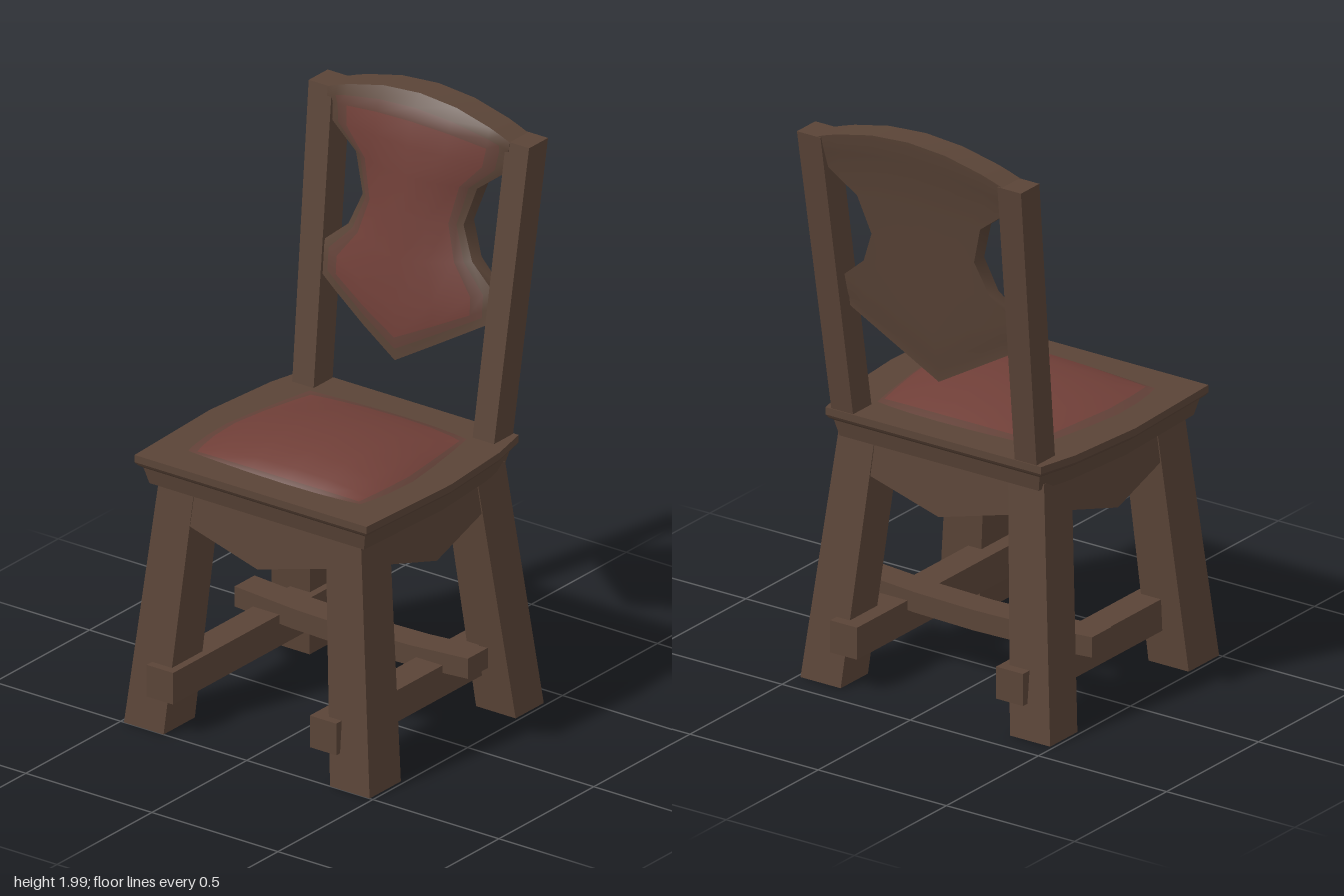
import * as THREE from 'three';

const material = (name, color) => {
  const m = new THREE.MeshStandardMaterial({ color });
  m.name = name;
  return m;
};

export function createModel() {
  const wood = material('dark wood', 0x5a4437);
  const trim = material('worn trim', 0x624138);
  const leather = material('red leather', 0x703f38);
  const shade = material('underside', 0x2a2f33);
  const palette = [wood, trim, leather];

  const chair = new THREE.Group();
  chair.name = 'chair';
  const add = (name, geometry, mat = wood, parent = chair) => {
    const mesh = new THREE.Mesh(geometry, mat);
    mesh.name = name;
    parent.add(mesh);
    return mesh;
  };

  // Move each vertex by a rule, keeping the box faces flat
  const reshape = (g, rule) => {
    const p = g.attributes.position, v = new THREE.Vector3();
    for (let i = 0; i < p.count; i++) {
      rule(v.fromBufferAttribute(p, i));
      p.setXYZ(i, v.x, v.y, v.z);
    }
    g.computeVertexNormals();
    return g;
  };

  // Leaning beam between two rectangles [xMin, xMax, zMin, zMax]
  const beam = (y0, a, y1, b) => reshape(new THREE.BoxGeometry(1, 1, 1), (v) => {
    const r = v.y < 0 ? a : b;
    v.set(v.x < 0 ? r[0] : r[1], v.y < 0 ? y0 : y1, v.z < 0 ? r[2] : r[3]);
  });
  const mirrorRect = ([x0, x1, z0, z1], s) => (s > 0 ? [x0, x1, z0, z1] : [-x1, -x0, z0, z1]);

  // Grid surface; pick(i, j) gives the material index of each cell
  const surface = (us, vs, fn, pick = () => 0, flat = false) => {
    const pos = [], cells = [[], [], []], n = us.length;
    for (const v of vs) for (const u of us) pos.push(...fn(u, v));
    for (let j = 0; j < vs.length - 1; j++) for (let i = 0; i < n - 1; i++) {
      const a = j * n + i;
      cells[pick(i, j)].push(a, a + 1, a + n + 1, a, a + n + 1, a + n);
    }
    let g = new THREE.BufferGeometry();
    g.setAttribute('position', new THREE.Float32BufferAttribute(pos, 3));
    g.setIndex(cells.flat());
    if (flat) g = g.toNonIndexed();
    let start = 0;
    cells.forEach((c, k) => {
      if (c.length) g.addGroup(start, c.length, k);
      start += c.length;
    });
    g.computeVertexNormals();
    return g;
  };
  const range = (n) => Array.from({ length: n }, (_, i) => i);
  const ring = (i, j, nu, nv) => Math.min(i, nu - 1 - i, j, nv - 1 - j);

  // Splayed legs and back posts
  for (const s of [1, -1]) {
    const side = s > 0 ? 'left' : 'right';
    const leg = (zFoot, zTop) => beam(0.01, mirrorRect([0.33, 0.487, ...zFoot], s),
      0.86, mirrorRect([0.26, 0.4, ...zTop], s));
    add(side + 'FrontLeg', leg([0.335, 0.5], [0.28, 0.43]));
    add(side + 'BackLeg', leg([-0.418, -0.27], [-0.33, -0.18]));
    add(side + 'BackPost', beam(0.93, mirrorRect([0.315, 0.4, -0.37, -0.27], s),
      1.93, mirrorRect([0.345, 0.437, -0.507, -0.407], s)));
    const runner = add(side + 'Stretcher', new THREE.BoxGeometry(0.105, 0.11, 0.94));
    runner.position.set(s > 0 ? 0.31 : -0.337, 0.185, 0.04);
  }

  // Bowed cross stretcher
  add('crossStretcher', reshape(new THREE.BoxGeometry(0.925, 0.07, 0.105, 4, 1, 1), (v) => {
    v.y += 0.235 + 0.02 * (v.x / 0.46) ** 2;
    v.z -= 0.103;
  }));

  // Pointed aprons, leaning outward with the legs
  const apron = (name, w, out, turn, zMid) => {
    const shape = new THREE.Shape();
    shape.moveTo(-w, 0.85);
    shape.lineTo(-w, 0.73);
    shape.lineTo(0, 0.655);
    shape.lineTo(w, 0.73);
    shape.lineTo(w, 0.85);
    const g = new THREE.ExtrudeGeometry(shape, { depth: 0.07, bevelEnabled: false });
    const mesh = add(name, reshape(g, (v) => { v.z += out - 0.07 + (0.84 - v.y) * 0.09; }));
    mesh.rotation.y = turn;
    mesh.position.z = zMid;
  };
  apron('frontApron', 0.28, 0.429, 0, 0);
  apron('backApron', 0.28, 0.329, Math.PI, 0);
  apron('leftApron', 0.25, 0.399, Math.PI / 2, 0.05);
  apron('rightApron', 0.25, 0.399, -Math.PI / 2, 0.05);

  // Moulded seat frame: one outline repeated at several levels
  const half = [[0.46, 0.48], [0.478, 0.06], [0.453, -0.23], [0.42, -0.375]];
  const outline = [...half, ...half.map(([x, z]) => [-x, z]).reverse(), half[0]];
  const levels = [[0, 0.84], [0.925, 0.84], [0.955, 0.895], [0.985, 0.905],
    [1, 0.915], [1, 0.94], [0, 0.94]];
  add('seatFrame', surface(range(outline.length), levels, (k, [scale, y]) => [
    outline[k][0] * scale, y, 0.05 + (outline[k][1] - 0.05) * scale,
  ], undefined, true));
  const under = add('seatUnderside', new THREE.BoxGeometry(0.6, 0.006, 0.58), shade);
  under.position.set(0, 0.836, 0.05);

  // Domed seat cushion
  const cu = [-1, -0.93, -0.75, -0.4, 0, 0.4, 0.75, 0.93, 1];
  add('seatCushion', surface(cu, cu, (u, v) => {
    const dome = (1 - Math.abs(u) ** 2.5) * (1 - Math.abs(v) ** 2.5);
    const x = 0.37 * u * (1 - 0.08 * v * v - (v > 0 ? 0.08 * v : 0)) + 0.06 * (1 - u * u);
    const z = 0.055 - 0.32 * v * (1 - 0.06 * u * u) + 0.06 * (1 - v * v);
    return [x, 0.942 + 0.068 * dome, z];
  }, (i, j) => Math.min(2, ring(i, j, 8, 8) + 1)), palette);

  // Back panel rows: [centre y, edge y, half width, front bulge, back depth]
  const rows = [
    [1.12, 1.32, 0.34, 0.015, -0.05], [1.16, 1.35, 0.34, 0.022, -0.05],
    [1.2, 1.37, 0.34, 0.03, -0.055], [1.3, 1.42, 0.34, 0.04, -0.06],
    [1.46, 1.5, 0.245, 0.042, -0.065], [1.61, 1.61, 0.2, 0.042, -0.07],
    [1.74, 1.74, 0.24, 0.047, -0.075], [1.84, 1.82, 0.345, 0.048, -0.08],
    [1.92, 1.87, 0.355, 0.04, -0.09], [1.96, 1.9, 0.36, 0.025, -0.095],
    [2.0, 1.93, 0.36, 0, -0.097],
  ];
  const panelPoint = (u, j, isFront) => {
    const [yc, ye, w, bulge, depth] = rows[j];
    const y = yc + (ye - yc) * Math.abs(u) ** (j < 5 ? 1 : 2);
    const rim = j > 8 ? 0 : -0.015;
    const z = isFront ? rim + (bulge - rim) * (1 - u * u) : depth;
    return [u * w, y, z - 0.27 - 0.137 * (y - 0.94)];
  };
  const pu = [-1, -0.9, -0.78, -0.4, 0, 0.4, 0.78, 0.9, 1];
  const pv = range(rows.length), last = rows.length - 1;
  const panel = new THREE.Group();
  panel.name = 'backPanel';
  chair.add(panel);
  add('panelFront', surface(pu, pv, (u, j) => panelPoint(u, j, true),
    (i, j) => Math.min(2, ring(i, j, 8, last))), palette, panel);
  add('panelBack', surface(pu, pv, (u, j) => panelPoint(-u, j, false)), wood, panel);
  add('panelBottomEdge', surface(pu, [0, 1], (u, t) => panelPoint(u, 0, t === 1)), wood, panel);
  add('panelTopEdge', surface(pu, [0, 1], (u, t) => panelPoint(u, last, t === 0)), wood, panel);
  add('panelLeftEdge', surface(pv, [0, 1], (j, t) => panelPoint(1, j, t === 1)), wood, panel);
  add('panelRightEdge', surface(pv, [0, 1], (j, t) => panelPoint(-1, j, t === 0)), wood, panel);

  return chair;
}
